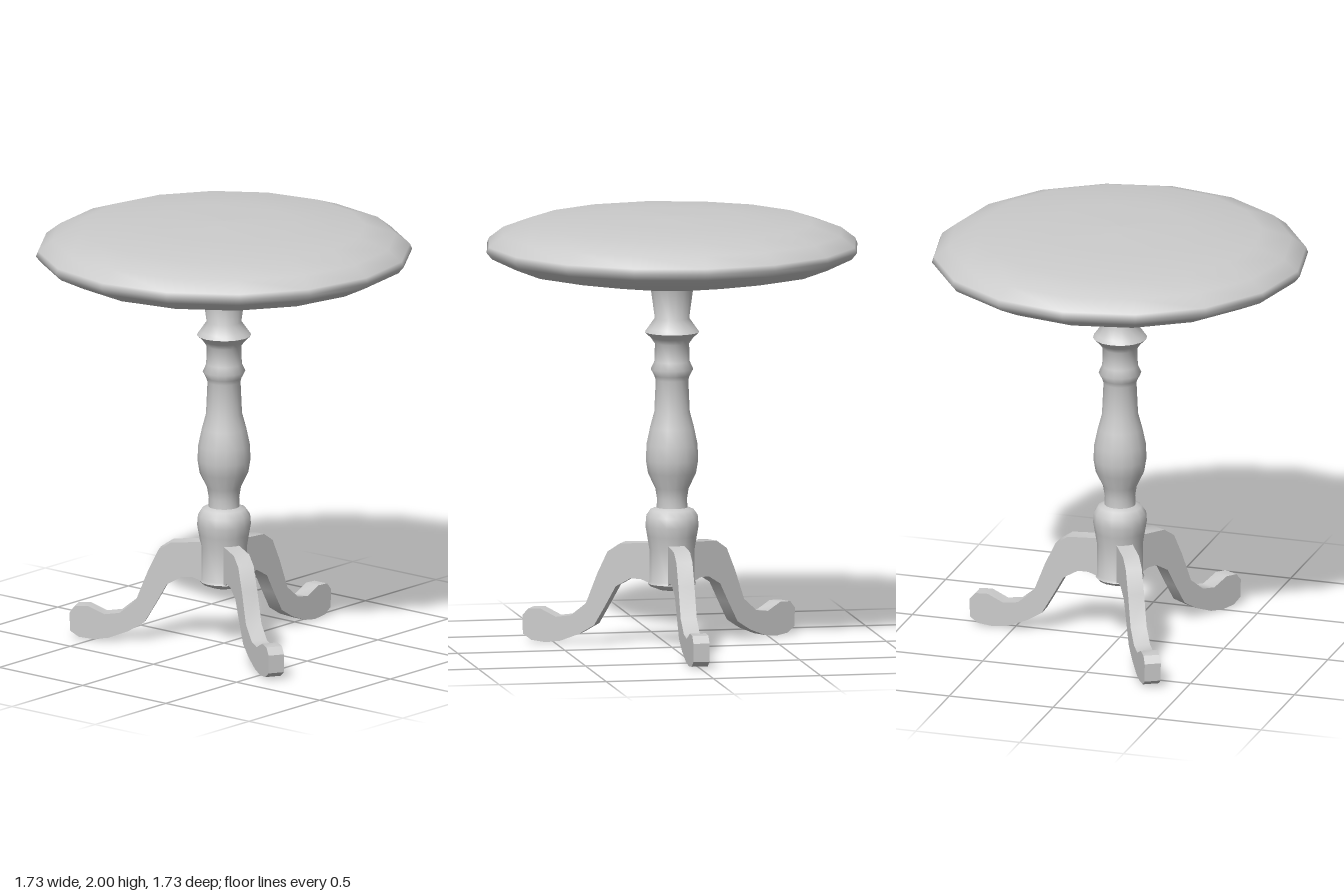
import * as THREE from 'three';
import { toCreasedNormals } from 'three/addons/utils/BufferGeometryUtils.js';

const SIDES = 16;
const LEG_WIDTH = 0.075;
const material = new THREE.MeshStandardMaterial({ color: 0xcccccc });
const points = (list) => list.map(([x, y]) => new THREE.Vector2(x, y));

function addMesh(parent, name, geometry) {
  const mesh = new THREE.Mesh(geometry, material);
  mesh.name = name;
  parent.add(mesh);
  return mesh;
}

export function createModel() {
  const table = new THREE.Group();
  table.name = 'pedestalTable';

  // Rounded sixteen-sided top, profile from underside to upper face
  addMesh(table, 'tableTop', new THREE.LatheGeometry(points([
    [0, 1.685], [0.15, 1.69], [0.41, 1.71], [0.725, 1.765], [0.84, 1.82],
    [0.865, 1.85], [0.855, 1.875], [0.79, 1.925], [0.65, 1.972],
    [0.33, 1.993], [0, 2],
  ]), SIDES));

  // Turned column
  const column = new THREE.LatheGeometry(points([
    [0, 0.264], [0.06, 0.27], [0.1, 0.285], [0.112, 0.298], [0.106, 0.31],
    [0.106, 0.46], [0.116, 0.52], [0.124, 0.565], [0.12, 0.61], [0.1, 0.64],
    [0.072, 0.65], [0.07, 0.69], [0.078, 0.74], [0.112, 0.81], [0.122, 0.87],
    [0.119, 0.94], [0.102, 1.02], [0.083, 1.09], [0.076, 1.24], [0.082, 1.26],
    [0.098, 1.29], [0.082, 1.325], [0.08, 1.41], [0.097, 1.435],
    [0.125, 1.462], [0.112, 1.48], [0.08, 1.525], [0.1, 1.67], [0.108, 1.695],
  ]), SIDES);
  addMesh(table, 'column', toCreasedNormals(column, 1));

  // Curved leg outline, radius outwards and height upwards
  const outline = new THREE.Shape(points([
    [0.04, 0.29], [0.1, 0.3], [0.14, 0.315], [0.19, 0.315], [0.26, 0.275],
    [0.31, 0.185], [0.365, 0.09], [0.44, 0.045], [0.53, 0.01], [0.6, 0],
    [0.67, 0.008], [0.71, 0.035], [0.713, 0.12], [0.685, 0.152],
    [0.625, 0.155], [0.55, 0.12], [0.48, 0.13], [0.405, 0.19], [0.35, 0.33],
    [0.3, 0.435], [0.24, 0.475], [0.04, 0.487],
  ]));
  const legGeometry = toCreasedNormals(
    new THREE.ExtrudeGeometry(outline, { depth: LEG_WIDTH, bevelEnabled: false })
      .translate(0, 0, -LEG_WIDTH / 2), 0.6);

  // Three legs, one pointing straight back
  ['backLeg', 'rightLeg', 'leftLeg'].forEach((name, i) => {
    addMesh(table, name, legGeometry).rotation.y = Math.PI / 2 + i * Math.PI * 2 / 3;
  });

  return table;
}
